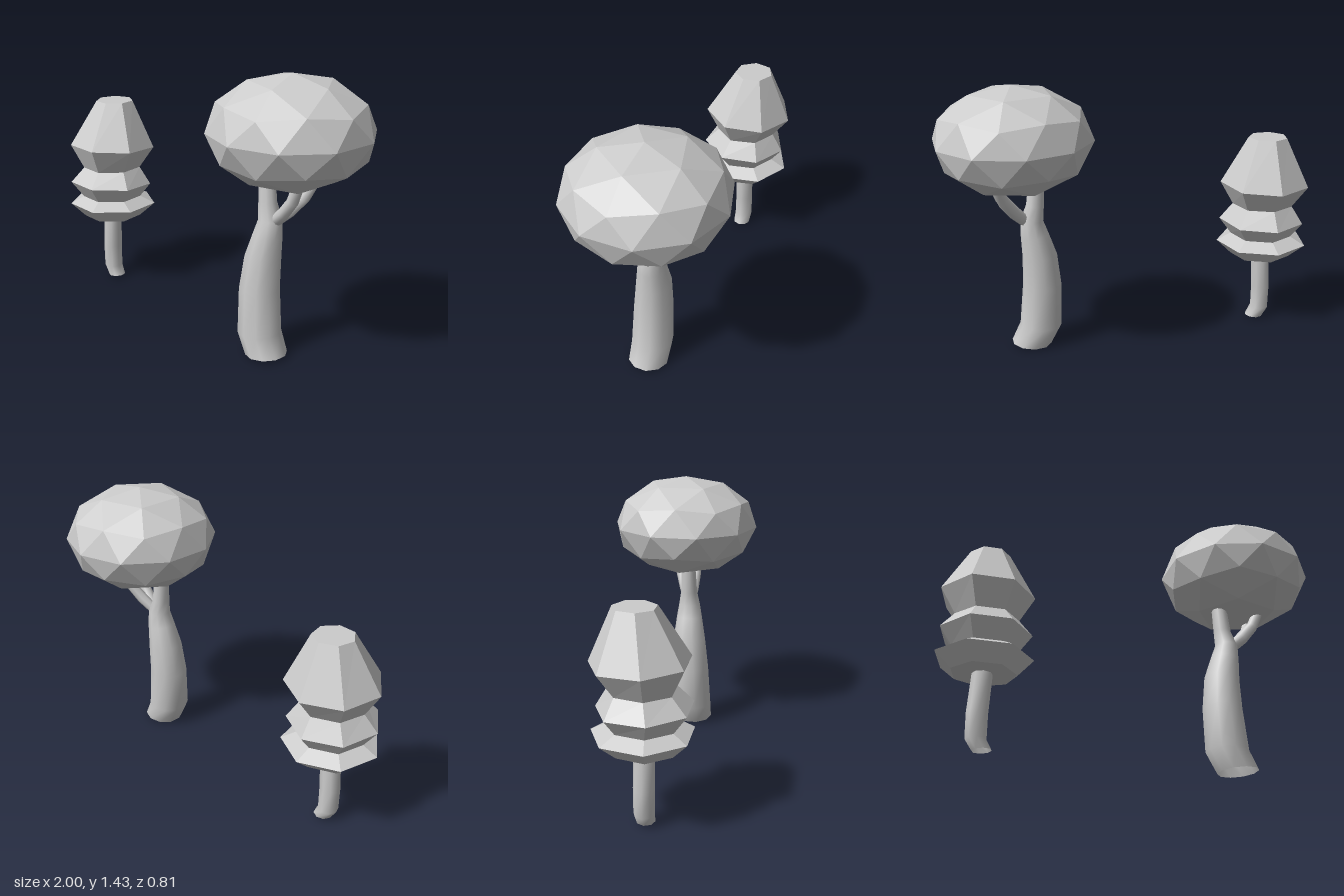
import * as THREE from 'three';

const grey = (opts = {}) => new THREE.MeshStandardMaterial({ color: 0xcccccc, ...opts });

// Skin over rings [x, y, z, radius, slopeX, slopeZ], listed from bottom to top.
function loft(name, rings, sides, material, phase = 0) {
  const pos = [], index = [];
  for (const [x, y, z, r, sx = 0, sz = 0] of rings) {
    const kx = 1 / Math.hypot(1, sx), kz = 1 / Math.hypot(1, sz);
    for (let j = 0; j < sides; j++) {
      const a = phase + (j / sides) * Math.PI * 2;
      const dx = r * Math.sin(a) * kx, dz = r * Math.cos(a) * kz;
      pos.push(x + dx, y + dx * sx + dz * sz, z + dz);
    }
  }
  for (let i = 0; i < rings.length - 1; i++) {
    for (let j = 0; j < sides; j++) {
      const a = i * sides + j, b = i * sides + (j + 1) % sides;
      index.push(a, b, b + sides, a, b + sides, a + sides);
    }
  }
  const geo = new THREE.BufferGeometry();
  geo.setAttribute('position', new THREE.Float32BufferAttribute(pos, 3));
  geo.setIndex(index);
  geo.computeVertexNormals();
  const mesh = new THREE.Mesh(geo, material);
  mesh.name = name;
  return mesh;
}

function roundTree() {
  const tree = new THREE.Group();
  tree.name = 'roundTree';
  const bark = grey({ side: THREE.DoubleSide });

  // Bent trunk, open at the foot, running on into the main branch
  tree.add(loft('trunk', [
    [0.548, 0.016, 0.067, 0.106, 0.09],
    [0.495, 0.12, 0.065, 0.111, 0.04],
    [0.482, 0.35, 0.058, 0.103],
    [0.491, 0.52, 0.047, 0.092, -0.1],
    [0.515, 0.64, 0.042, 0.074, -0.15],
    [0.528, 0.72, 0.04, 0.06],
    [0.508, 0.8, 0.04, 0.046, 0.1],
    [0.495, 0.96, 0.036, 0.04],
  ], 10, bark));

  // Two side branches
  for (const [name, dx, dz] of [['frontBranch', 0.005, 0.015], ['backBranch', 0, -0.095]]) {
    tree.add(loft(name, [
      [0.55, 0.71, 0.038, 0.03, -0.9],
      [0.615 + dx, 0.775, 0.038 + dz * 0.4, 0.032, -0.9],
      [0.675 + dx, 0.85, 0.038 + dz * 0.75, 0.03, -0.65],
      [0.712 + dx, 0.94, 0.038 + dz * 1.1, 0.028, -0.35],
    ], 8, bark));
  }

  // Faceted crown, turned so that a corner points straight up
  const geo = new THREE.IcosahedronGeometry(1, 1);
  geo.rotateZ(-Math.atan(2 / (1 + Math.sqrt(5))));
  geo.scale(0.405, 0.275, 0.405);
  const crown = new THREE.Mesh(geo, grey({ flatShading: true }));
  crown.name = 'roundCrown';
  crown.position.set(0.61, 1.165, 0);
  tree.add(crown);
  return tree;
}

function tieredTree() {
  const tree = new THREE.Group();
  tree.name = 'tieredTree';

  // Thin bent trunk
  tree.add(loft('thinTrunk', [
    [-0.738, 0.017, 0.055, 0.048, 0.08],
    [-0.77, 0.07, 0.055, 0.052, 0.04],
    [-0.772, 0.2, 0.055, 0.053],
    [-0.76, 0.42, 0.055, 0.051, -0.05],
  ], 8, grey({ side: THREE.DoubleSide })));

  // Seven-sided tiers, closed at both ends
  tree.add(loft('tieredCrown', [
    [-0.758, 0.402, 0.055, 0],
    [-0.758, 0.402, 0.055, 0.164],
    [-0.76, 0.48, 0.05, 0.248, 0, 0.012],
    [-0.76, 0.52, 0.055, 0.168, 0, 0.01],
    [-0.76, 0.606, 0.06, 0.233, 0, 0.045],
    [-0.76, 0.695, 0.05, 0.164],
    [-0.762, 0.823, 0.04, 0.242, 0, 0.05],
    [-0.76, 1.08, 0.018, 0.105],
    [-0.76, 1.08, 0.018, 0],
  ], 7, grey({ flatShading: true }), Math.PI));
  return tree;
}

export function createModel() {
  const model = new THREE.Group();
  model.name = 'twoTrees';
  model.add(roundTree(), tieredTree());
  return model;
}
